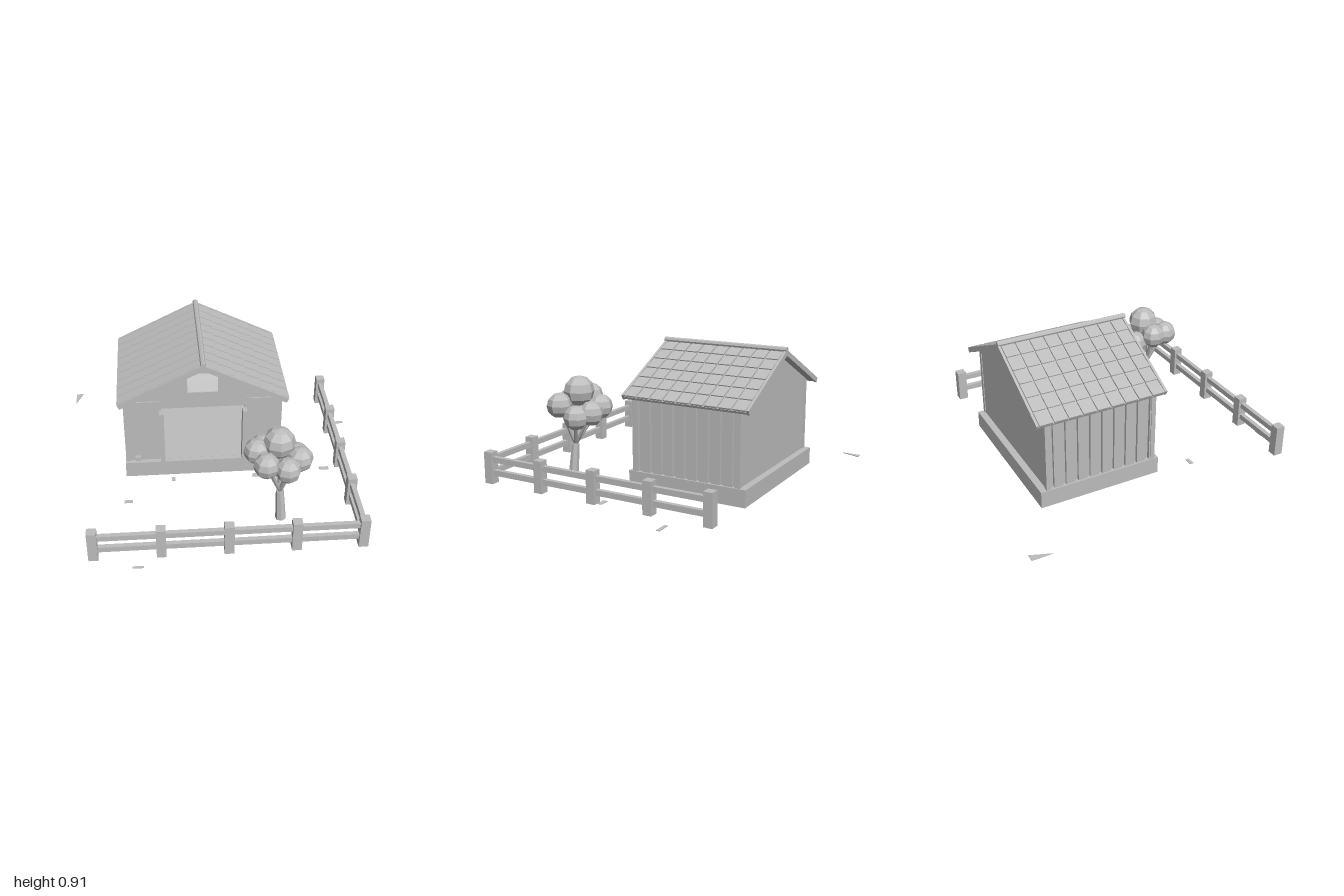
import * as THREE from 'three';

export function createModel() {
  const root = new THREE.Group();
  const grey = new THREE.MeshStandardMaterial({ color: 0xbcbcbc, flatShading: true });
  grey.name = 'plain grey';

  const add = (parent, name, geo, x = 0, y = 0, z = 0) => {
    const m = new THREE.Mesh(geo, grey);
    m.name = name;
    m.position.set(x, y, z);
    parent.add(m);
    return m;
  };
  const group = (name, parent = root) => {
    const g = new THREE.Group();
    g.name = name;
    parent.add(g);
    return g;
  };
  // box given by its minimum and maximum corners
  const block = (parent, name, x0, x1, y0, y1, z0, z1) =>
    add(parent, name, new THREE.BoxGeometry(x1 - x0, y1 - y0, z1 - z0),
      (x0 + x1) / 2, (y0 + y1) / 2, (z0 + z1) / 2);
  const polygon = (pts) => new THREE.Shape(pts.map(([x, y]) => new THREE.Vector2(x, y)));
  const plate = (shape, depth) => new THREE.ExtrudeGeometry(shape, { depth, bevelEnabled: false });
  // tapered pole between two points
  const pole = (parent, name, a, b, ra, rb) => {
    const dir = b.clone().sub(a);
    const m = add(parent, name, new THREE.CylinderGeometry(rb, ra, dir.length(), 7));
    m.position.copy(a).lerp(b, 0.5);
    m.quaternion.setFromUnitVectors(new THREE.Vector3(0, 1, 0), dir.normalize());
  };

  // --- Barn, built around its own centre line ---
  const barn = group('barn');
  barn.position.x = -0.075;
  block(barn, 'foundation', -0.53, 0.53, 0.012, 0.125, -0.73, 0.088);

  // gable walls; the front one has a doorway and a loft window
  const outline = [[-0.52, 0.12], [0.52, 0.12], [0.52, 0.605], [0, 0.86], [-0.52, 0.605]];
  const front = polygon(outline);
  front.holes.push(
    polygon([[-0.275, 0.126], [-0.275, 0.54], [0.275, 0.54], [0.275, 0.126]]),
    polygon([[-0.1, 0.655], [-0.1, 0.8], [0.1, 0.8], [0.1, 0.655]]));
  add(barn, 'frontWall', plate(front, 0.03), 0, 0, 0.025);
  add(barn, 'backWall', plate(polygon(outline), 0.03), 0, 0, -0.685);
  const gable = polygon([[-0.52, 0.6], [0.52, 0.6], [0.52, 0.607], [0, 0.862], [-0.52, 0.607]]);
  add(barn, 'backGable', plate(gable, 0.01), 0, 0, -0.695);

  // loft window slats
  for (let i = 0; i < 5; i++) {
    const slat = add(barn, 'loftSlat', new THREE.BoxGeometry(0.2, 0.03, 0.008), 0, 0.67 + i * 0.029, 0.042);
    slat.rotation.x = -0.5;
  }

  for (const s of [-1, 1]) {
    const side = group(s < 0 ? 'rightSide' : 'leftSide', barn);
    const bar = (name, xa, xb, ...r) => block(side, name, Math.min(s * xa, s * xb), Math.max(s * xa, s * xb), ...r);
    // boarded side wall and corner posts
    bar('sideWall', 0.475, 0.5, 0.12, 0.615, -0.68, 0.05);
    for (let i = 0; i < 8; i++) {
      const z = -0.635 + i * 0.082;
      bar('wallBoard', 0.5, 0.518, 0.12, 0.605, z, z + 0.06);
    }
    for (const z of [-0.69, 0.033]) bar('cornerPost', 0.495, 0.525, 0.12, 0.605, z, z + 0.03);

    // door panel, projecting door edge and foot block
    bar('doorPanel', 0.285, 0.495, 0.145, 0.6, 0.05, 0.064);
    bar('doorEdge', 0.26, 0.29, 0.14, 0.525, 0.05, 0.108);
    bar('footBlock', 0.425, 0.46, 0.14, 0.17, 0.06, 0.09);

    // roof slope with rows of lapped tiles
    const slope = group('roofSlope', barn);
    slope.position.y = 0.885;
    slope.rotation.z = -s * Math.atan2(0.275, 0.56);
    const length = 0.62, rows = 6, columns = 9;
    add(slope, 'roofDeck', new THREE.BoxGeometry(length, 0.016, 0.86), s * length / 2, -0.012, -0.315);
    for (const z of [-0.747, 0.112])
      add(slope, 'edgeBoard', new THREE.BoxGeometry(length, 0.034, 0.016), s * length / 2, -0.008, z);
    for (let r = 0; r < rows; r++) {
      for (let c = 0; c < columns; c++) {
        const tile = add(slope, 'roofTile', new THREE.BoxGeometry(length / rows + 0.004, 0.011, 0.084),
          s * (r + 0.5) * length / rows, 0.002, -0.692 + c * 0.0938);
        tile.rotation.z = s * 0.07;
      }
    }
  }
  const ridge = add(barn, 'ridgePole', new THREE.CylinderGeometry(0.018, 0.018, 0.88, 8), 0, 0.895, -0.315);
  ridge.rotation.x = Math.PI / 2;

  // --- Fence along the front and the left side ---
  const fence = group('fence');
  const post = (x, z) => add(fence, 'fencePost', new THREE.BoxGeometry(0.06, 0.21, 0.06), x, 0.135, z);
  for (let i = 0; i < 5; i++) post(-0.8 + i * 0.415, 0.88);
  for (let i = 1; i < 5; i++) post(0.86, 0.88 - i * 0.396);
  for (const y of [0.103, 0.19]) {
    block(fence, 'frontRail', -0.8, 0.86, y - 0.018, y + 0.018, 0.865, 0.895);
    block(fence, 'sideRail', 0.845, 0.875, y - 0.018, y + 0.018, -0.705, 0.88);
  }

  // --- Tree ---
  const tree = group('tree');
  const fork = new THREE.Vector3(0.38, 0.22, 0.56);
  pole(tree, 'trunk', new THREE.Vector3(0.392, 0.002, 0.573), fork, 0.035, 0.026);
  const clumps = [
    [0.365, 0.58, 0.53, 0.103], [0.28, 0.47, 0.42, 0.083], [0.41, 0.45, 0.405, 0.083],
    [0.49, 0.43, 0.47, 0.083], [0.488, 0.5, 0.6, 0.083], [0.405, 0.47, 0.67, 0.083],
    [0.275, 0.5, 0.655, 0.083], [0.226, 0.525, 0.535, 0.083],
  ];
  for (const [x, y, z, r] of clumps) {
    add(tree, 'leafClump', new THREE.SphereGeometry(r, 8, 6), x, y, z);
    pole(tree, 'branch', fork, new THREE.Vector3(x, y, z), 0.014, 0.009);
  }

  // --- Flat stones scattered on the ground ---
  const stones = group('stones');
  for (const [x, z, w, d] of [
    [-0.59, 0.343, 0.055, 0.026], [-0.53, 0.955, 0.07, 0.016], [0.763, 0.087, 0.065, 0.03],
    [0.953, -0.447, 0.094, 0.022], [-0.285, 0.13, 0.024, 0.035], [0.3, 0.125, 0.08, 0.034],
  ]) block(stones, 'flatStone', x - w / 2, x + w / 2, 0, 0.004, z - d / 2, z + d / 2);
  const shard = add(stones, 'stoneShard', plate(polygon([[-1, 0.97], [-1, 0.84], [-0.95, 0.97]]), 0.004));
  shard.rotation.x = -Math.PI / 2;

  return root;
}
